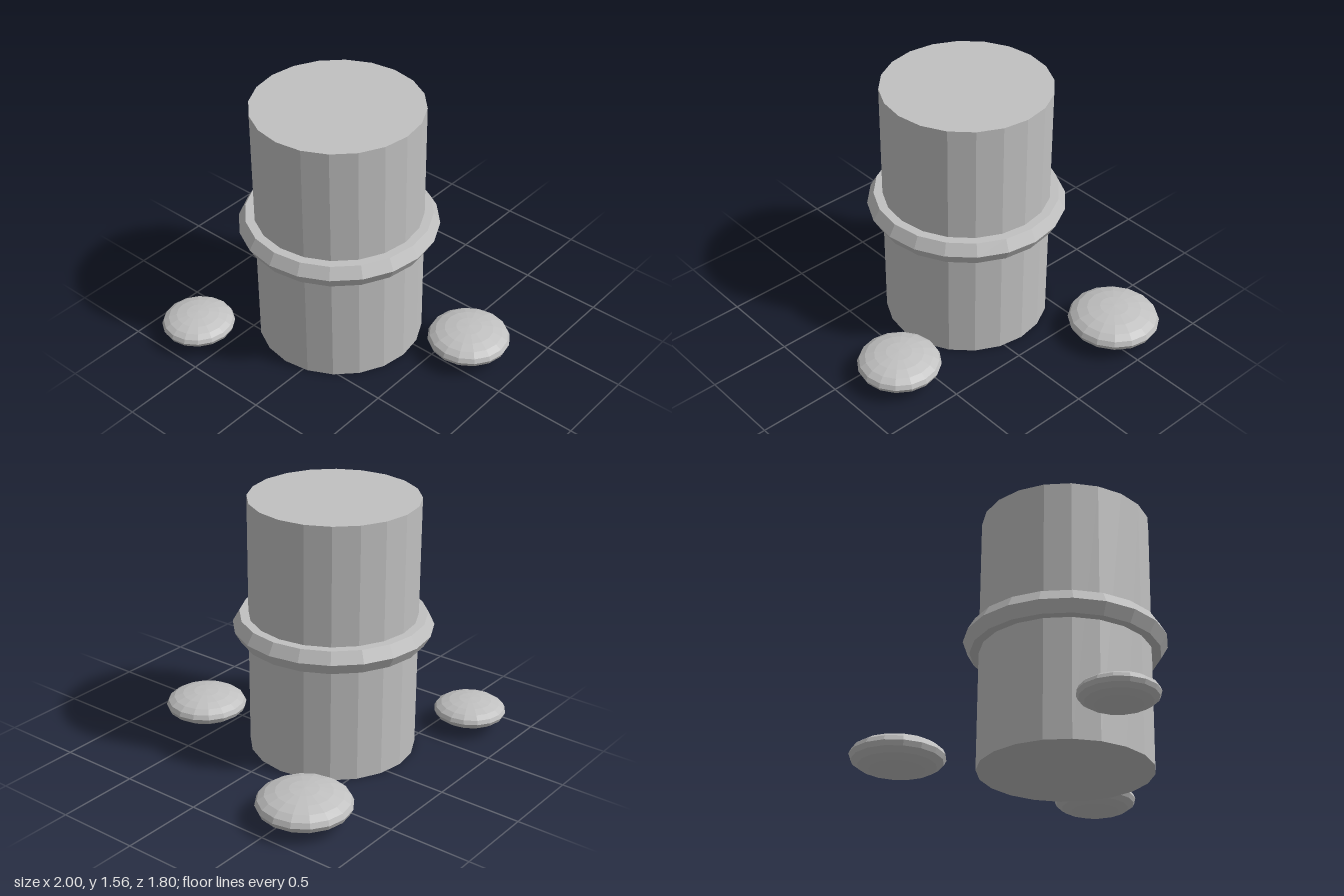
import * as THREE from 'three';

export function createModel() {
  const model = new THREE.Group();
  const grey = new THREE.MeshStandardMaterial({ color: 0xc0c0c0, flatShading: true });
  grey.name = 'grey';

  function add(name, geometry, x, y, z) {
    const mesh = new THREE.Mesh(geometry, grey);
    mesh.name = name;
    mesh.position.set(x, y, z);
    model.add(mesh);
    return mesh;
  }

  // Twenty-sided column with a six-sided ring around its middle
  const cx = -0.113, cz = -0.127, height = 1.56;
  add('column', new THREE.CylinderGeometry(0.5, 0.5, height, 20), cx, height / 2, cz);
  add('ring', new THREE.TorusGeometry(0.513, 0.08, 6, 20).rotateX(Math.PI / 2), cx, height / 2, cz);

  // Flattened pebbles around the foot: x, z, radius, half height
  const pebbles = [
    [0.165, 0.648, 0.248, 0.086],
    [0.722, -0.573, 0.276, 0.095],
    [-0.78, -0.685, 0.22, 0.076],
  ];
  pebbles.forEach(([x, z, radius, half], i) => {
    const geometry = new THREE.SphereGeometry(1, 16, 10).scale(radius, half, radius);
    add(`pebble${i + 1}`, geometry, x, 0.115, z);
  });

  return model;
}
